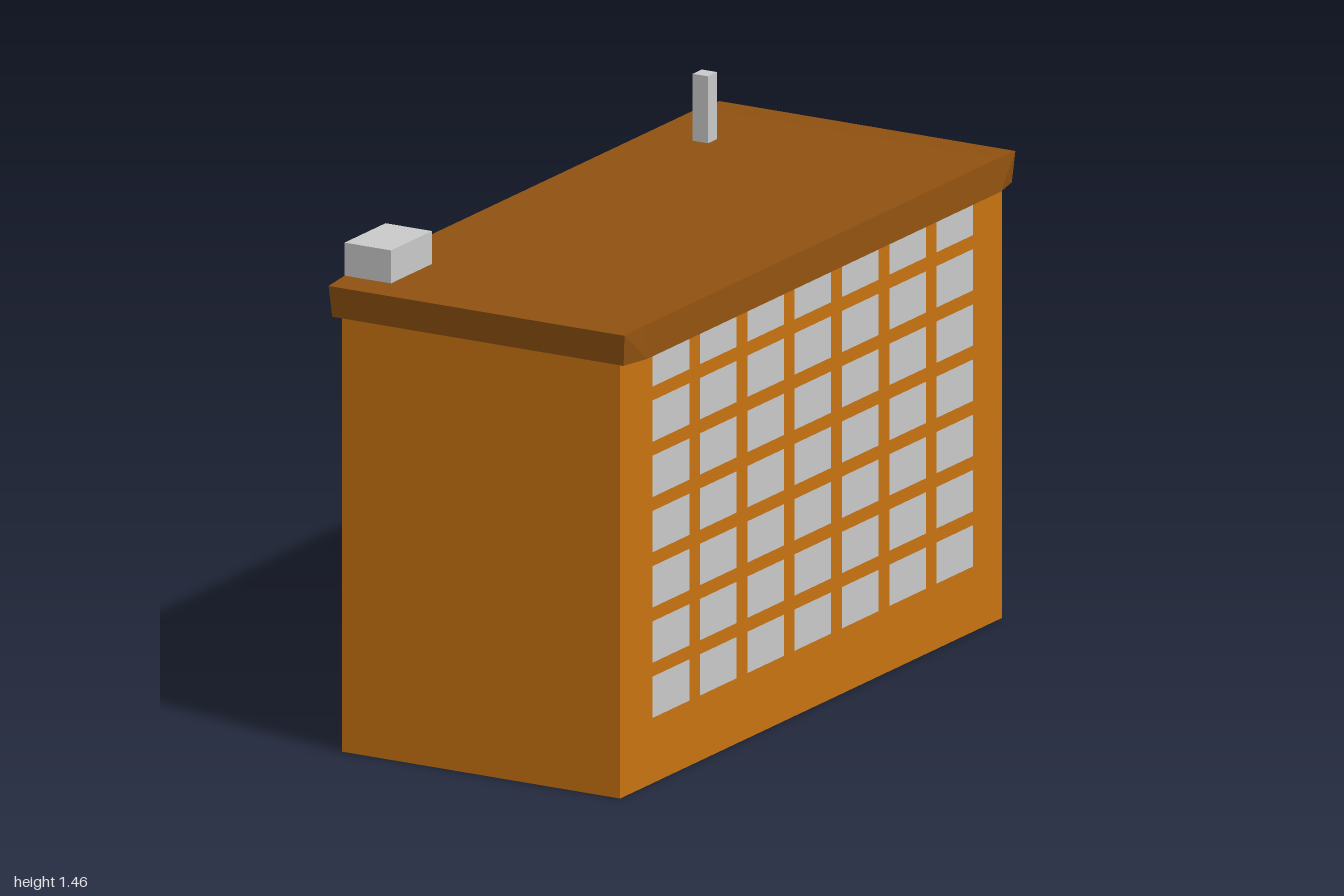
import * as THREE from 'three';
import { ConvexGeometry } from 'three/addons/geometries/ConvexGeometry.js';

const paint = (color) => new THREE.MeshStandardMaterial({ color });

export function createModel() {
  const group = new THREE.Group();
  const wall = paint(0xcb7512), roofPaint = paint(0x915210), grey = paint(0xcccccc);

  // box given by its min and max corners
  const box = (name, material, [x0, y0, z0], [x1, y1, z1], parent = group) => {
    const mesh = new THREE.Mesh(new THREE.BoxGeometry(x1 - x0, y1 - y0, z1 - z0), material);
    mesh.position.set((x0 + x1) / 2, (y0 + y1) / 2, (z0 + z1) / 2);
    mesh.name = name;
    parent.add(mesh);
  };

  // main block
  box('building', wall, [-0.425, 0, -0.977], [0.425, 1.2, 0.977]);

  // roof slab: narrower at both ends, its long sides flaring out downward
  const corners = [];
  for (const sx of [-1, 1]) for (const sz of [-1, 1]) {
    for (const [x, y, z] of [
      [0.445, 1.19, 0.993], [0.465, 1.19, 0.905],
      [0.452, 1.275, 1.0], [0.457, 1.28, 0.905],
    ]) corners.push(new THREE.Vector3(sx * x, y, sz * z));
  }
  const roof = new THREE.Mesh(new ConvexGeometry(corners), roofPaint);
  roof.name = 'roof';
  group.add(roof);

  // flush window panes, seven by seven on both long sides
  const pane = new THREE.PlaneGeometry(0.187, 0.113);
  for (const side of [-1, 1]) {
    const windows = new THREE.Group();
    windows.name = side > 0 ? 'leftWindows' : 'rightWindows';
    for (let row = 0; row < 7; row++) for (let col = 0; col < 7; col++) {
      const mesh = new THREE.Mesh(pane, grey);
      mesh.name = 'window';
      mesh.position.set(side * 0.427, 0.236 + row * 0.151, 0.72 - col * 0.242);
      mesh.rotation.y = side * Math.PI / 2;
      windows.add(mesh);
    }
    group.add(windows);
  }

  // rooftop parts
  box('roofHut', grey, [-0.457, 1.27, 0.7], [-0.315, 1.37, 0.91]);
  box('chimney', grey, [-0.315, 1.27, -0.68], [-0.268, 1.463, -0.633]);

  return group;
}
